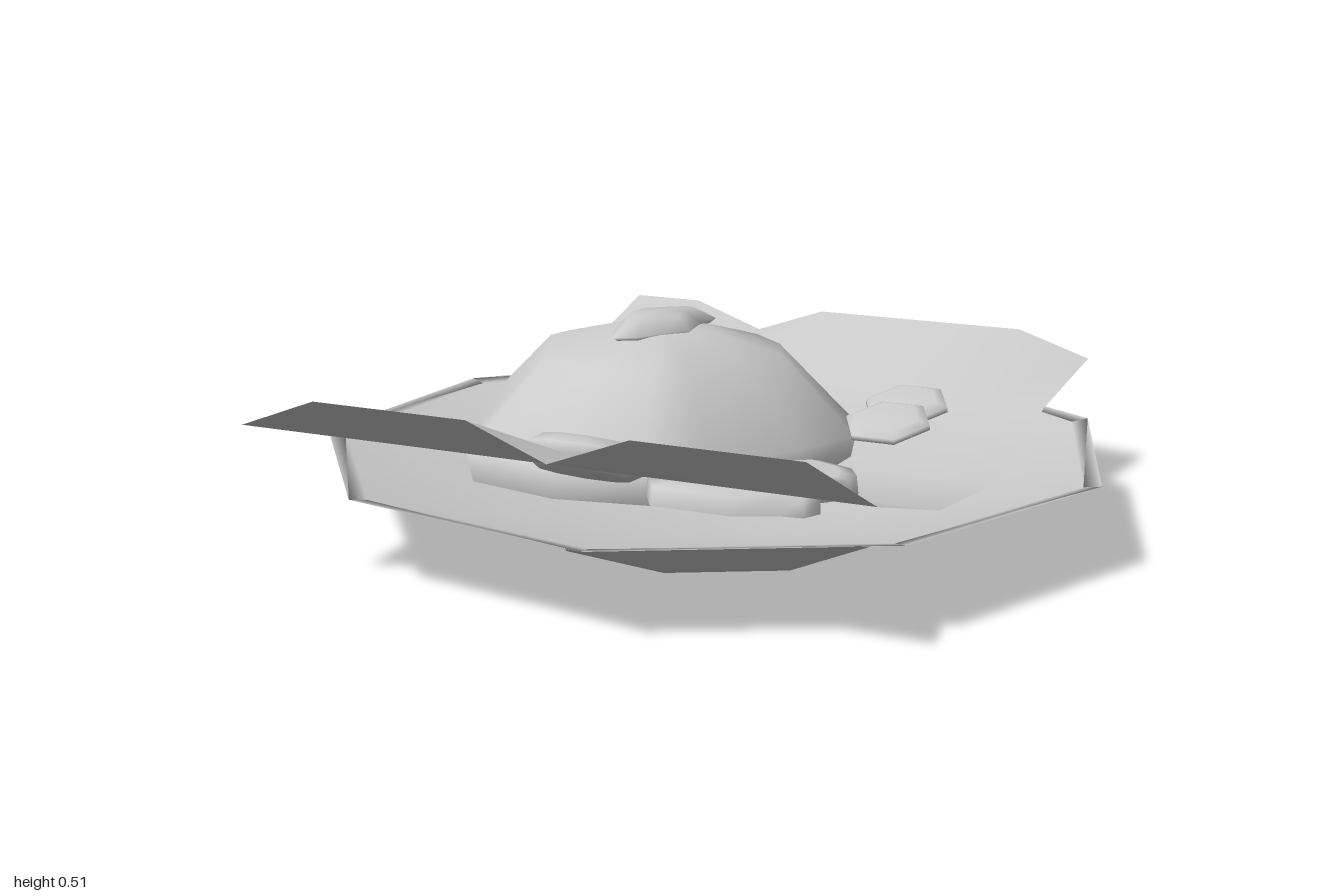
import * as THREE from 'three';
import { mergeVertices } from 'three/addons/utils/BufferGeometryUtils.js';

const grey = new THREE.MeshStandardMaterial({ color: 0xcccccc });
const greyThin = new THREE.MeshStandardMaterial({ color: 0xcccccc, side: THREE.DoubleSide });

function addMesh(group, name, geometry, material = grey) {
  const mesh = new THREE.Mesh(geometry, material);
  mesh.name = name;
  group.add(mesh);
  return mesh;
}

// Smooth surface through a grid of rows of [x, y, z] points
function gridSurface(rows, closed) {
  const n = rows[0].length;
  const index = [];
  for (let k = 0; k < rows.length - 1; k++) {
    for (let i = 0; i < (closed ? n : n - 1); i++) {
      const j = (i + 1) % n;
      const a = k * n + i, b = k * n + j, c = a + n, d = b + n;
      index.push(a, c, b, b, c, d);
    }
  }
  const g = new THREE.BufferGeometry();
  g.setAttribute('position', new THREE.Float32BufferAttribute(rows.flat(2), 3));
  g.setIndex(index);
  const merged = mergeVertices(g);
  merged.computeVertexNormals();
  return merged;
}

// Heap: an outline [x, z] shrunk about a centre at each [scale, y] layer
function heap(outline, [cx, cz], layers) {
  return gridSurface(layers.map(([s, y]) =>
    outline.map(([x, z]) => [cx + (x - cx) * s, y, cz + (z - cz) * s])), true);
}

// Flat rounded disc of unit radius and unit half thickness
function lens(sides) {
  const profile = [[0, -1], [0.75, -0.9], [1, -0.35], [1, 0.35], [0.75, 0.9], [0, 1]];
  return new THREE.LatheGeometry(profile.map(p => new THREE.Vector2(...p)), sides, Math.PI / 2);
}

export function createModel() {
  const model = new THREE.Group();
  model.name = 'plateOfFood';

  // Nine-sided footed plate
  const plateProfile = [[0, 0], [0.443, 0], [0.443, 0.07], [1.015, 0.22],
    [0.97, 0.213], [0.45, 0.085], [0, 0.08]];
  const plate = addMesh(model, 'plate', new THREE.LatheGeometry(
    plateProfile.map(p => new THREE.Vector2(...p)), 9, Math.PI / 2), greyThin);
  plate.position.x = -0.03;

  // Paper sheet sagging into the plate, with wavy front and back edges
  const frontEdge = [0.40, 0.475, 0.475, 0.475, 0.40, 0.475, 0.475, 0.475];
  const backEdge = [0.39, 0.39, 0.32, 0.39, 0.39, 0.39, 0.39, 0.325];
  const heights = [frontEdge, 0.285, 0.18, 0.15, 0.265, backEdge];
  const sheet = heights.map((h, r) => frontEdge.map((_, c) =>
    [-0.745 + c * 1.41 / 7, Array.isArray(h) ? h[c] : h, 0.99 - r * 0.38]));
  // reversed columns keep the upper side facing up
  addMesh(model, 'paperSheet', gridSurface(sheet.map(r => r.reverse()), false), greyThin);

  // Main mound of food
  addMesh(model, 'mound', heap([
    [-0.43, -0.595], [-0.11, -0.59], [0, -0.54], [0.17, -0.4], [0.27, -0.2], [0.2, 0],
    [0.07, 0.25], [-0.02, 0.385], [-0.27, 0.435], [-0.54, 0.38], [-0.65, 0.15],
    [-0.8, -0.13], [-0.78, -0.25], [-0.69, -0.42]],
  [-0.26, -0.14], [[0.97, 0.14], [1, 0.22], [0.62, 0.42], [0.25, 0.47], [0, 0.48]]));

  // Dollop on top of the mound
  addMesh(model, 'dollop', heap([
    [-0.22, -0.315], [-0.175, -0.29], [-0.18, -0.21], [-0.155, -0.1], [-0.2, -0.04],
    [-0.24, 0.04], [-0.29, 0.07], [-0.33, 0], [-0.365, -0.1], [-0.36, -0.2], [-0.29, -0.26]],
  [-0.265, -0.12], [[0, 0.46], [0.9, 0.465], [1, 0.475], [0.65, 0.51], [0, 0.515]]));

  // Puddle of sauce
  addMesh(model, 'sauce', heap([
    [0.3, 0.08], [0.4, 0.12], [0.44, 0.18], [0.44, 0.23], [0.38, 0.31], [0.43, 0.38],
    [0.41, 0.43], [0.35, 0.44], [0.25, 0.49], [0.04, 0.49], [-0.02, 0.4], [0.1, 0.22]],
  [0.25, 0.3], [[1, 0.18], [0.98, 0.225], [0.8, 0.235], [0, 0.235]]));

  // Egg-shaped piece leaning on the front of the sheet
  const egg = addMesh(model, 'eggPiece', lens(10));
  egg.scale.set(0.16, 0.045, 0.115);
  egg.position.set(-0.115, 0.285, 0.515);
  egg.rotation.x = -0.42;

  // Two six-sided slices
  [[0.33, 0.265, -0.4], [0.345, 0.255, -0.235]].forEach((p, i) => {
    const slice = addMesh(model, 'slice' + (i + 1), lens(6));
    slice.scale.set(0.115, 0.02, 0.12);
    slice.position.set(...p);
    slice.rotation.x = 0.22;
  });

  return model;
}
